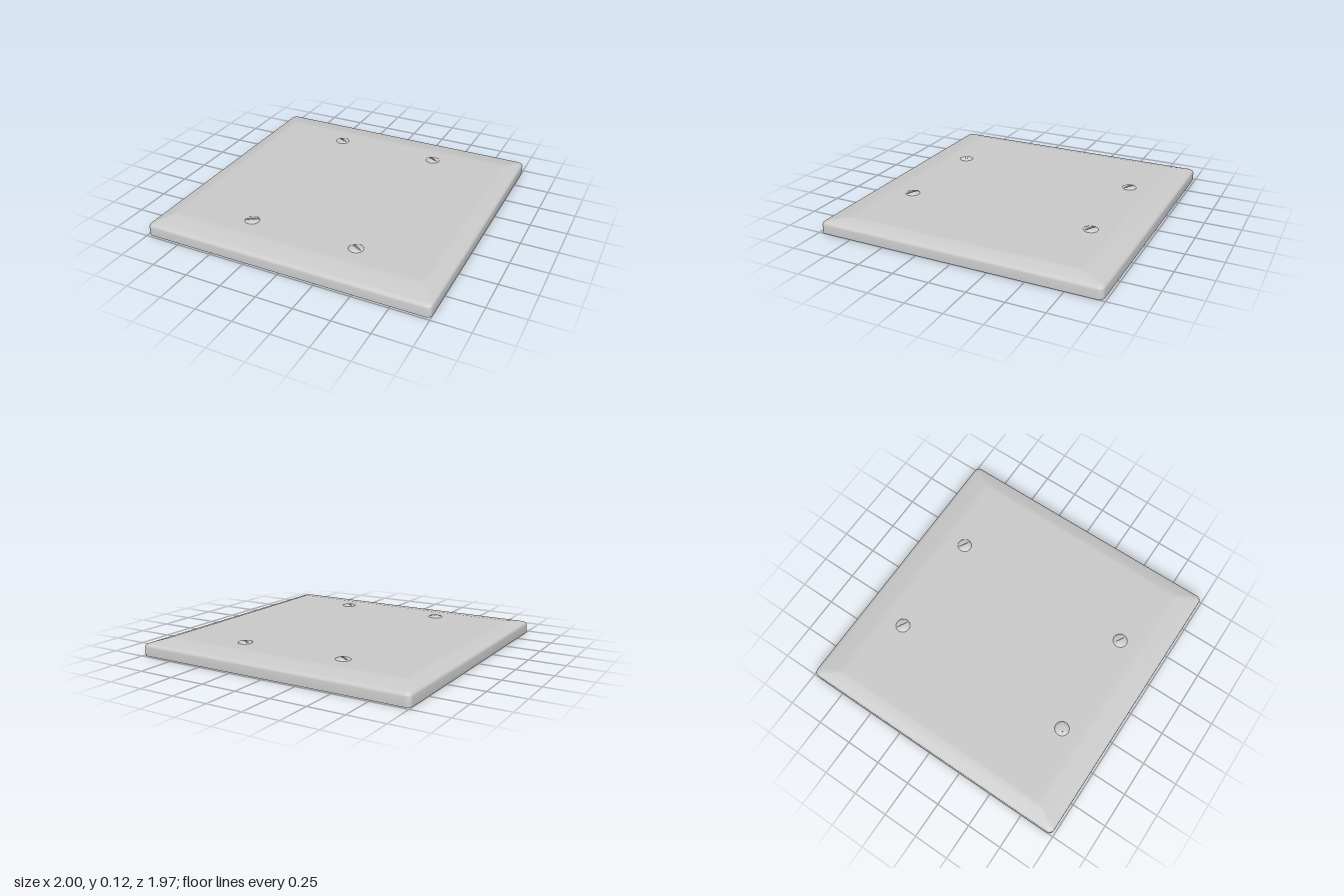
import * as THREE from 'three';
import { toCreasedNormals } from 'three/addons/utils/BufferGeometryUtils.js';

const TOP = 0.105, UNDER = 0.093;      // heights of the face and its underside
const HOLE_X = 0.38, HOLE_Z = 0.668, HOLE_R = 0.042;
const PANEL = [0.88, 0.805, 0.012];    // half width, half depth, corner radius

// Skin a list of equally long rows of points
function loft(rows, closed) {
  const n = rows[0].length, index = [];
  for (let i = 0; i < rows.length - 1; i++) {
    for (let j = 0; j < (closed ? n : n - 1); j++) {
      const k = (j + 1) % n;
      const a = i * n + j, b = i * n + k, c = a + n, d = b + n;
      index.push(a, c, b, b, c, d);
    }
  }
  const g = new THREE.BufferGeometry();
  g.setAttribute('position', new THREE.Float32BufferAttribute(rows.flat(2), 3));
  g.setIndex(index);
  return toCreasedNormals(g, 0.65);
}

// Rounded rectangle loop at height y
function ring([hx, hz, r], y) {
  const pts = [], steps = 6;
  for (let c = 0; c < 4; c++) {
    const sx = c === 0 || c === 3 ? 1 : -1, sz = c < 2 ? 1 : -1;
    for (let s = 0; s <= steps; s++) {
      const a = (c + s / steps) * Math.PI / 2;
      pts.push([sx * (hx - r) + r * Math.cos(a), y, sz * (hz - r) + r * Math.sin(a)]);
    }
  }
  return pts;
}

// Flat panel with four screw holes
function panel(y, facing) {
  const shape = new THREE.Shape(ring(PANEL, 0).map(p => new THREE.Vector2(p[0], p[2])));
  for (const x of [-HOLE_X, HOLE_X]) for (const z of [-HOLE_Z, HOLE_Z]) {
    shape.holes.push(new THREE.Path().absarc(x, z, HOLE_R, 0, Math.PI * 2, true));
  }
  return new THREE.ShapeGeometry(shape, 16).rotateX(-facing * Math.PI / 2).translate(0, y, 0);
}

// Low domed head with a groove across it, skinned from parallel chords
function screwHead() {
  const R = 0.05, H = 0.0125, W = 0.006, FLOOR = 0.004, n = 16;
  const half = [];
  for (let i = 0; i <= 10; i++) half.push(W + (R - W) * Math.sin(i / 10 * Math.PI / 2));
  const sections = [
    ...half.map(z => [-z, H]).reverse(), [-W, FLOOR], [W, FLOOR], ...half.map(z => [z, H]),
  ];
  return loft(sections.map(([z, limit]) => {
    const c = Math.sqrt(Math.max(0, R * R - z * z));
    return Array.from({ length: n + 1 }, (_, j) => {
      const x = -c * Math.cos(j / n * Math.PI);
      const dome = H * Math.pow(Math.max(0, 1 - (x * x + z * z) / (R * R)), 0.6);
      return [x, Math.min(dome, limit), z];
    });
  }), false);
}

export function createModel() {
  const model = new THREE.Group();
  model.name = 'blankWallPlate';
  const grey = new THREE.MeshStandardMaterial({ color: 0xcccccc, side: THREE.DoubleSide });
  grey.name = 'light grey';
  const add = (name, geometry, parent = model) => {
    const mesh = new THREE.Mesh(geometry, grey);
    mesh.name = name;
    parent.add(mesh);
    return mesh;
  };

  // Outer wall, rounded shoulder and sloping border
  add('outerBorder', loft([
    ring([1, 0.985, 0.035], 0),
    ring([1, 0.985, 0.035], 0.06),
    ring([0.997, 0.982, 0.034], 0.07),
    ring([0.988, 0.971, 0.032], 0.079),
    ring([0.975, 0.955, 0.03], 0.0835),
    ring([0.908, 0.84, 0.018], 0.1015),
    ring([0.895, 0.82, 0.014], 0.1042),
    ring(PANEL, TOP),
  ], true));

  // Hollow inside and the thin rim the plate stands on
  add('innerBorder', loft([
    ring(PANEL, UNDER),
    ring([0.972, 0.95, 0.024], 0.073),
    ring([0.988, 0.973, 0.024], 0.058),
    ring([0.988, 0.973, 0.024], 0),
    ring([1, 0.985, 0.035], 0),
  ], true));

  add('facePanel', panel(TOP, 1));
  add('backPanel', panel(UNDER, -1));

  // Screws with their hole linings
  const head = screwHead();
  const lining = new THREE.CylinderGeometry(HOLE_R, HOLE_R, TOP - UNDER, 32, 1, true);
  for (const sx of [-1, 1]) for (const sz of [-1, 1]) {
    const screw = new THREE.Group();
    screw.name = 'screw';
    screw.position.set(sx * HOLE_X, TOP, sz * HOLE_Z);
    const turn = sx < 0 && sz > 0 ? 1 : -1;
    add('screwHead', head, screw).rotation.y = turn * Math.PI / 6;
    add('screwHole', lining, screw).position.y = (UNDER - TOP) / 2;
    model.add(screw);
  }
  return model;
}
